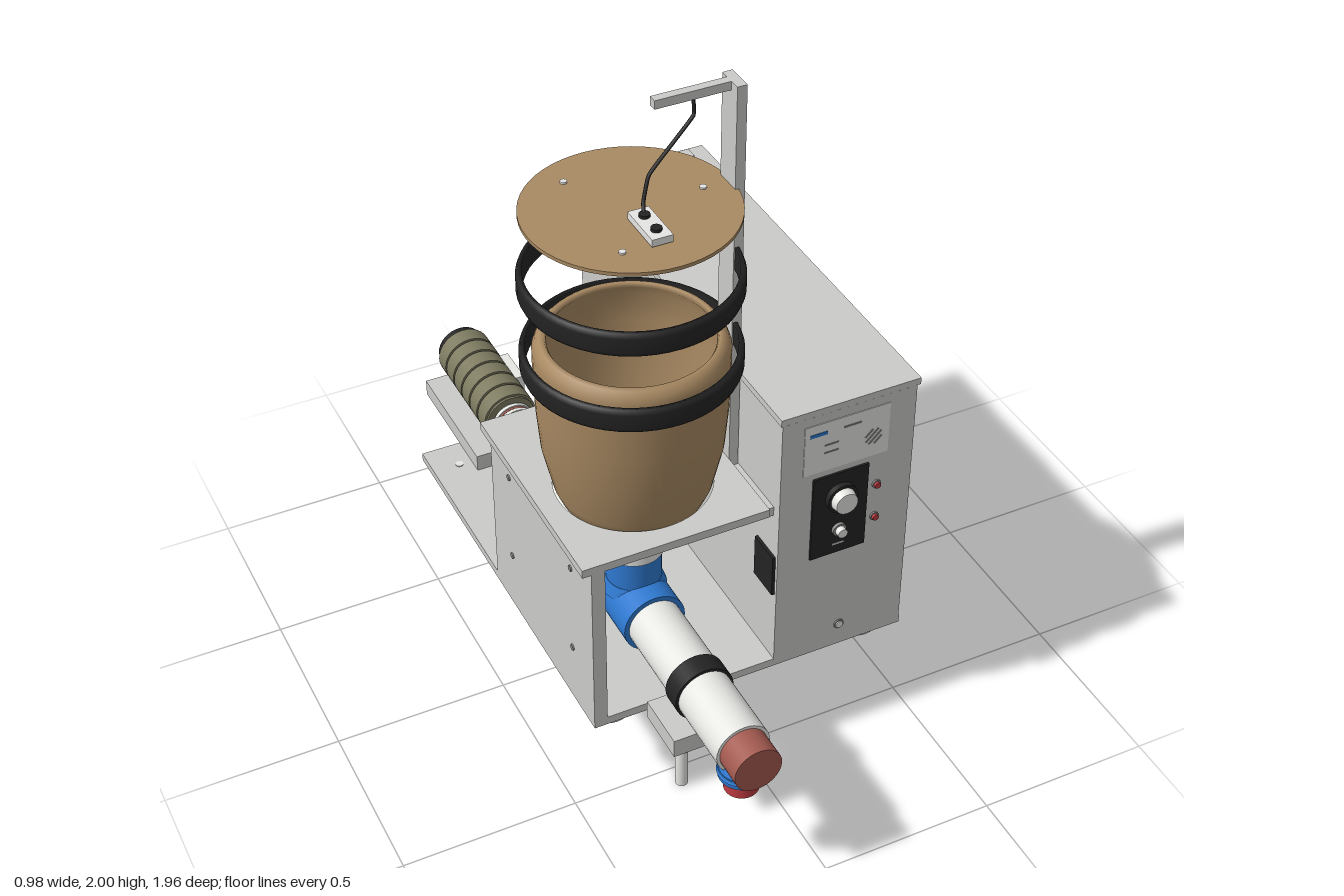
import * as THREE from 'three';

const mat = (name, color, side = THREE.FrontSide) => {
  const m = new THREE.MeshStandardMaterial({ color, side });
  m.name = name;
  return m;
};

export function createModel() {
  const root = new THREE.Group();
  root.name = 'hopperFeederMachine';
  const grey = mat('paintedMetalGrey', 0xcbcbc8);
  const white = mat('plasticWhite', 0xe6e6e3);
  const black = mat('rubberBlack', 0x232323, THREE.DoubleSide);
  const tan = mat('hopperTan', 0xa88962, THREE.DoubleSide);
  const blue = mat('fittingBlue', 0x2e78cf);
  const terracotta = mat('capTerracotta', 0xa35a50);
  const red = mat('signalRed', 0xbe3a40);
  const olive = mat('motorOlive', 0x7d7a60);
  const steel = mat('steelGrey', 0x8c8c8a);

  const add = (name, geo, m, x = 0, y = 0, z = 0, parent = root) => {
    const mesh = new THREE.Mesh(geo, m);
    mesh.name = name;
    mesh.position.set(x, y, z);
    parent.add(mesh);
    return mesh;
  };
  // Box given by its limits on each axis
  const box = (name, m, x0, x1, y0, y1, z0, z1) =>
    add(name, new THREE.BoxGeometry(x1 - x0, y1 - y0, z1 - z0), m, (x0 + x1) / 2, (y0 + y1) / 2, (z0 + z1) / 2);
  // Cylinders standing, lying along z, and lying along x
  const cylY = (name, m, r, y0, y1, x, z, rTop = r, seg = 32) =>
    add(name, new THREE.CylinderGeometry(rTop, r, y1 - y0, seg), m, x, (y0 + y1) / 2, z);
  const cylZ = (name, m, r, z0, z1, x, y, rFront = r) => {
    const c = add(name, new THREE.CylinderGeometry(rFront, r, z1 - z0, 32), m, x, y, (z0 + z1) / 2);
    c.rotation.x = Math.PI / 2;
    return c;
  };
  const cylX = (name, m, r, x0, x1, y, z) => {
    const c = add(name, new THREE.CylinderGeometry(r, r, x1 - x0, 16), m, (x0 + x1) / 2, y, z);
    c.rotation.z = Math.PI / 2;
    return c;
  };
  const lathe = (name, m, pts, x, y, z, seg = 48) =>
    add(name, new THREE.LatheGeometry(pts.map(p => new THREE.Vector2(...p)), seg), m, x, y, z);
  const wire = (name, m, r, pts) => {
    const curve = new THREE.CatmullRomCurve3(pts.map(p => new THREE.Vector3(...p)), false, 'catmullrom', 0.2);
    return add(name, new THREE.TubeGeometry(curve, 32, r, 8), m);
  };

  const HX = -0.205, HZ = 0.26, PY = 0.455; // hopper axis and pipe height

  // Base plate, feet and rails underneath
  box('basePlate', grey, -0.45, 0.48, 0.295, 0.32, -0.705, 0.53);
  for (const x of [-0.368, 0.396]) for (const z of [-0.603, 0.437]) {
    lathe('foot', white, [[0.022, 0.05], [0.022, 0], [0.052, 0], [0.06, 0.008], [0.06, 0.05]], x, 0.245, z, 32);
  }
  for (const x of [0.29, 0.12, -0.05, -0.28]) box('baseRail', grey, x - 0.011, x + 0.011, 0.253, 0.295, -0.53, 0.36);
  for (const [x, z] of [[-0.368, -0.61], [0.015, -0.655]]) cylY('baseScrew', white, 0.012, 0.32, 0.323, x, z);

  // Cabinet
  box('cabinetBody', grey, 0.085, 0.478, 0.32, 1.128, -0.695, 0.53);
  box('cabinetLid', grey, 0.08, 0.487, 1.13, 1.15, -0.712, 0.532);
  box('lidSeam', steel, 0.09, 0.474, 1.128, 1.13, -0.69, 0.525);
  for (const x of [0.165, 0.405]) box('lidPad', grey, x - 0.026, x + 0.026, 1.15, 1.165, -0.69, -0.65);
  for (const z of [0.325, -0.5]) for (const y of [0.97, 0.48]) cylX('sideScrew', steel, 0.009, 0.478, 0.483, y, z);
  box('innerSideVent', black, 0.076, 0.085, 0.55, 0.68, 0.42, 0.52);

  // Control panel on the cabinet front
  box('labelPlate', white, 0.15, 0.4, 0.94, 1.1, 0.53, 0.532);
  box('blueStripe', blue, 0.165, 0.215, 1.062, 1.072, 0.532, 0.534);
  box('greyStripe', steel, 0.265, 0.315, 1.064, 1.069, 0.532, 0.534);
  for (const y of [1.025, 1.0]) box('greyStripe', steel, 0.21, 0.25, y - 0.002, y + 0.002, 0.532, 0.534);
  for (let i = 0; i < 4; i++) {
    const s = add('grilleSlot', new THREE.BoxGeometry(i % 3 ? 0.05 : 0.03, 0.005, 0.002), steel,
      0.354 + (i - 1.5) * 0.009, 1.005 - (i - 1.5) * 0.009, 0.533);
    s.rotation.z = Math.PI / 4;
  }
  box('controlPlate', black, 0.18, 0.345, 0.645, 0.92, 0.53, 0.536);
  cylZ('dialCollar', black, 0.045, 0.536, 0.552, 0.262, 0.84);
  cylZ('dialKnob', white, 0.036, 0.552, 0.574, 0.262, 0.84, 0.032);
  cylZ('switchCollar', steel, 0.02, 0.536, 0.545, 0.262, 0.728);
  cylZ('switchKnob', white, 0.014, 0.545, 0.562, 0.262, 0.728);
  box('switchMark', white, 0.245, 0.28, 0.675, 0.679, 0.536, 0.538);
  for (const y of [0.837, 0.726]) {
    cylZ('lampBezel', steel, 0.013, 0.53, 0.535, 0.373, y);
    cylZ('lamp', red, 0.009, 0.535, 0.542, 0.373, y);
  }
  cylZ('portBezel', steel, 0.015, 0.53, 0.534, 0.284, 0.37);
  cylZ('portFace', white, 0.011, 0.534, 0.537, 0.284, 0.37);

  // Hopper stand: side panel and a top plate with a round hole
  box('standPanel', grey, -0.45, -0.412, 0.32, 0.84, -0.125, 0.53);
  for (const z of [0.0, 0.4]) for (const y of [0.48, 0.76]) cylX('panelScrew', steel, 0.009, -0.454, -0.45, y, z);
  const plate = new THREE.Shape([[-0.475, -0.53], [0.057, -0.53], [0.057, 0.13], [-0.475, 0.13]].map(p => new THREE.Vector2(...p)));
  const hole = new THREE.Path();
  hole.absarc(HX, -HZ, 0.212, 0, Math.PI * 2, true);
  plate.holes.push(hole);
  const plateMesh = add('standTop', new THREE.ExtrudeGeometry(plate, { depth: 0.025, bevelEnabled: false, curveSegments: 32 }), grey, 0, 0.84, 0);
  plateMesh.rotation.x = -Math.PI / 2;
  box('standBracket', grey, 0.032, 0.085, 0.812, 0.84, -0.1, 0.5);

  // Hopper, clamp rings and lid
  lathe('hopper', tan, [[0.054, 0.65], [0.06, 0.68], [0.195, 0.84], [0.21, 0.875], [0.238, 1.0], [0.248, 1.12],
    [0.252, 1.24], [0.252, 1.3], [0.244, 1.32], [0.232, 1.333], [0.22, 1.336], [0.214, 1.325], [0.236, 1.29],
    [0.24, 1.2], [0.226, 1.0], [0.185, 0.85], [0.05, 0.68]], HX, 0, HZ, 56);
  for (const y of [1.245, 1.475]) {
    lathe('clampRing', black, [[0.268, 0], [0.279, 0], [0.284, 0.012], [0.284, 0.053], [0.279, 0.066], [0.268, 0.066], [0.268, 0]], HX, y, HZ, 56);
    box('ringLatch', black, 0.068, 0.084, y + 0.01, y + 0.055, 0.235, 0.285);
  }
  cylY('hopperLid', tan, 0.274, 1.703, 1.713, HX, HZ, 0.274, 56);
  for (const [x, z] of [[-0.305, 0.09], [-0.305, 0.425], [-0.01, 0.26]]) cylY('lidScrew', white, 0.009, 1.713, 1.718, x, z);

  // Post, arm, cable and level sensor
  box('post', grey, 0.056, 0.083, 0.84, 2.0, 0.224, 0.302);
  box('arm', grey, -0.147, 0.056, 1.976, 2.0, 0.248, 0.272);
  wire('sensorCable', black, 0.005, [[-0.04, 1.98, 0.26], [-0.04, 1.93, 0.265], [-0.1, 1.88, 0.28], [-0.175, 1.82, 0.3], [-0.2, 1.76, 0.32], [-0.207, 1.735, 0.34]]);
  box('sensorBody', white, -0.236, -0.18, 1.718, 1.738, 0.308, 0.442);
  box('sensorFoot', black, -0.228, -0.188, 1.713, 1.718, 0.32, 0.43);
  for (const z of [0.343, 0.407]) cylY('sensorButton', black, 0.014, 1.738, 1.746, -0.208, z);

  // Throat and blue tee below the hopper
  cylY('throatCollar', white, 0.083, 0.628, 0.662, HX, HZ);
  cylY('teeNeck', blue, 0.076, 0.46, 0.628, HX, HZ);
  cylY('teeShoulder', blue, 0.09, 0.5, 0.535, HX, HZ, 0.077);
  cylZ('teeBody', blue, 0.09, 0.13, 0.39, HX, PY);

  // Conveying pipe with clamps and support blocks
  cylZ('pipe', white, 0.076, -0.51, 0.9, HX, PY);
  for (const z of [0.655, -0.257]) {
    cylZ('pipeClamp', black, 0.084, z - 0.03, z + 0.03, HX, PY);
    box('pipeSupport', grey, -0.318, -0.098, 0.32, 0.377, z - 0.08, z + 0.08);
  }

  // Outlet end: end cap and downward branch
  cylZ('endCap', terracotta, 0.067, 0.895, 0.982, HX, PY);
  cylY('outletBranch', blue, 0.066, 0.38, 0.475, HX, 0.895, 0.02);
  cylY('outletSocket', blue, 0.063, 0.366, 0.392, HX, 0.895);
  cylY('outletCap', red, 0.047, 0.318, 0.37, HX, 0.895);

  // Drive motor, coupling and mounting plate
  box('motorPlate', grey, -0.33, -0.09, 0.32, 0.372, -0.97, -0.56);
  cylZ('couplingCore', white, 0.056, -0.59, -0.5, HX, PY);
  for (let i = 0; i < 3; i++) {
    cylZ('couplingDisc', white, 0.064, -0.575 + i * 0.024, -0.563 + i * 0.024, HX, PY);
    cylZ('couplingSpacer', terracotta, 0.06, -0.563 + i * 0.024, -0.556 + i * 0.024, HX, PY);
  }
  cylZ('motorCore', olive, 0.076, -0.955, -0.585, HX, PY);
  for (let i = 0; i < 6; i++) cylZ('motorBand', olive, 0.083, -0.953 + i * 0.0615, -0.9 + i * 0.0615, HX, PY);
  cylZ('motorEndCap', black, 0.072, -0.982, -0.95, HX, PY);
  box('motorTerminalBox', white, -0.14, -0.112, 0.4, 0.505, -0.825, -0.7);

  // Water line under the base and drain nozzle
  wire('underPipe', steel, 0.009, [[HX, 0.275, 0.53], [HX, 0.275, 0.1], [HX, 0.275, -0.3], [HX, 0.275, -0.62]]);
  for (const z of [0.42, 0.2, -0.05, -0.28, -0.48]) box('pipeClip', black, HX - 0.022, HX + 0.022, 0.262, 0.295, z - 0.013, z + 0.013);
  cylY('valveBody', black, 0.026, 0.262, 0.295, HX, -0.64);
  cylY('cableGland', black, 0.03, 0.265, 0.295, 0.18, -0.67);
  wire('crossHose', black, 0.007, [[HX, 0.272, 0.5], [-0.08, 0.272, 0.42], [0.1, 0.282, 0.38]]);
  cylY('drainElbow', black, 0.022, 0.265, 0.31, HX, 0.555);
  cylY('drainTube', black, 0.011, 0.18, 0.27, HX, 0.555);
  cylY('drainFitting', blue, 0.023, 0.132, 0.184, HX, 0.555);
  cylY('drainNozzle', white, 0.018, 0, 0.134, HX, 0.555);

  // Power wires to the motor
  wire('powerWire', red, 0.006, [[0.085, 0.335, -0.665], [0, 0.336, -0.69], [-0.1, 0.336, -0.725]]);
  wire('lowerWire', red, 0.006, [[0.18, 0.275, -0.67], [0.0, 0.268, -0.69], [HX, 0.272, -0.68]]);
  wire('motorWire', red, 0.007, [[HX, 0.272, -0.66], [HX, 0.272, -0.76], [HX, 0.287, -0.86], [HX, 0.312, -0.91]]);
  wire('motorTailWire', red, 0.006, [[HX, 0.33, -0.974], [HX, 0.36, -0.976], [HX, 0.4, -0.97]]);

  return root;
}
